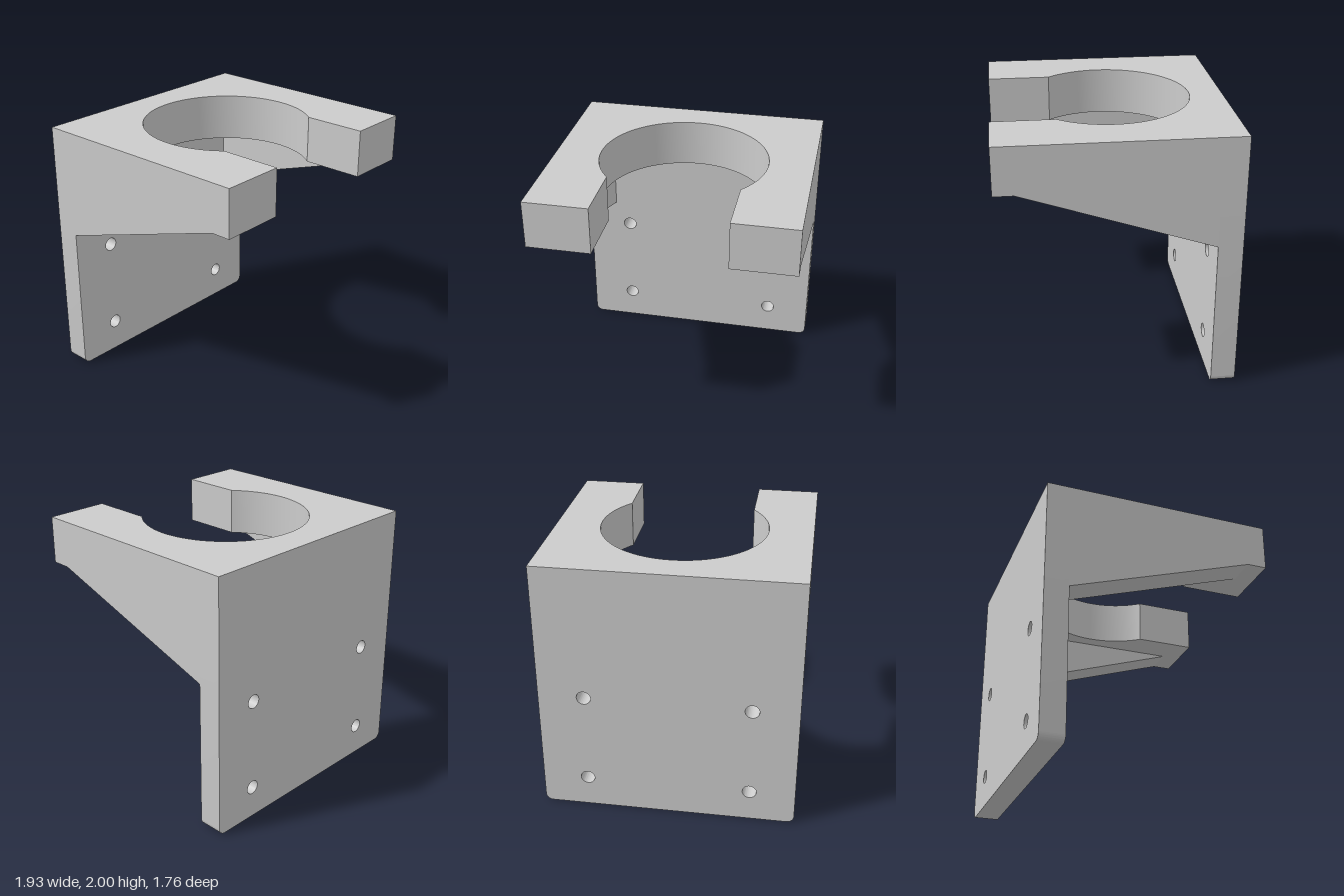
import * as THREE from 'three';
import { toCreasedNormals } from 'three/addons/utils/BufferGeometryUtils.js';

const HALF_W = 0.965, HALF_D = 0.88;   // overall half width and half depth
const SHELF_Y = 1.64, TOP_Y = 2;       // underside and top of the shelf
const PLATE_Z = -0.695;                // front face of the back plate

const material = new THREE.MeshStandardMaterial({ color: 0xcccccc });

function extrude(shape, depth) {
  const geometry = new THREE.ExtrudeGeometry(shape, { depth, bevelEnabled: false, curveSegments: 48 });
  return toCreasedNormals(geometry, Math.PI / 6);
}

function part(name, geometry) {
  const mesh = new THREE.Mesh(geometry, material);
  mesh.name = name;
  return mesh;
}

// Upright plate with rounded bottom corners and four screw holes
function backPlate() {
  const r = 0.055;
  const shape = new THREE.Shape();
  shape.moveTo(-HALF_W, SHELF_Y);
  shape.lineTo(-HALF_W, r);
  shape.absarc(-HALF_W + r, r, r, Math.PI, Math.PI * 1.5, false);
  shape.absarc(HALF_W - r, r, r, Math.PI * 1.5, Math.PI * 2, false);
  shape.lineTo(HALF_W, SHELF_Y);
  for (const x of [-0.62, 0.62]) {
    for (const y of [0.25, 0.965]) {
      shape.holes.push(new THREE.Path().absarc(x, y, 0.053, 0, Math.PI * 2, true));
    }
  }
  return part('backPlate', extrude(shape, PLATE_Z + HALF_D).translate(0, 0, -HALF_D));
}

// Horizontal shelf with a round seat that opens to the front through a slot
function shelf() {
  const radius = 0.632, slot = 0.485;
  const slotZ = Math.sqrt(radius * radius - slot * slot);
  const start = Math.atan2(-slotZ, -slot);
  const shape = new THREE.Shape();
  shape.moveTo(-HALF_W, HALF_D);
  shape.lineTo(-HALF_W, -HALF_D);
  shape.lineTo(-slot, -HALF_D);
  shape.absarc(0, 0, radius, start, Math.PI - start, true);
  shape.lineTo(slot, -HALF_D);
  shape.lineTo(HALF_W, -HALF_D);
  shape.lineTo(HALF_W, HALF_D);
  const geometry = extrude(shape, TOP_Y - SHELF_Y);
  return part('shelf', geometry.rotateX(-Math.PI / 2).translate(0, SHELF_Y, 0));
}

// Triangular brace under one side of the shelf
function gusset(name, outerX) {
  const width = 0.23;
  const shape = new THREE.Shape([
    new THREE.Vector2(PLATE_Z, 1.165),
    new THREE.Vector2(0.73, SHELF_Y),
    new THREE.Vector2(PLATE_Z, SHELF_Y),
  ]);
  const geometry = extrude(shape, width).rotateY(-Math.PI / 2);
  return part(name, geometry.translate(outerX > 0 ? outerX : outerX + width, 0, 0));
}

export function createModel() {
  const group = new THREE.Group();
  group.name = 'wallBracket';
  group.add(backPlate(), shelf(), gusset('leftGusset', HALF_W), gusset('rightGusset', -HALF_W));
  return group;
}
